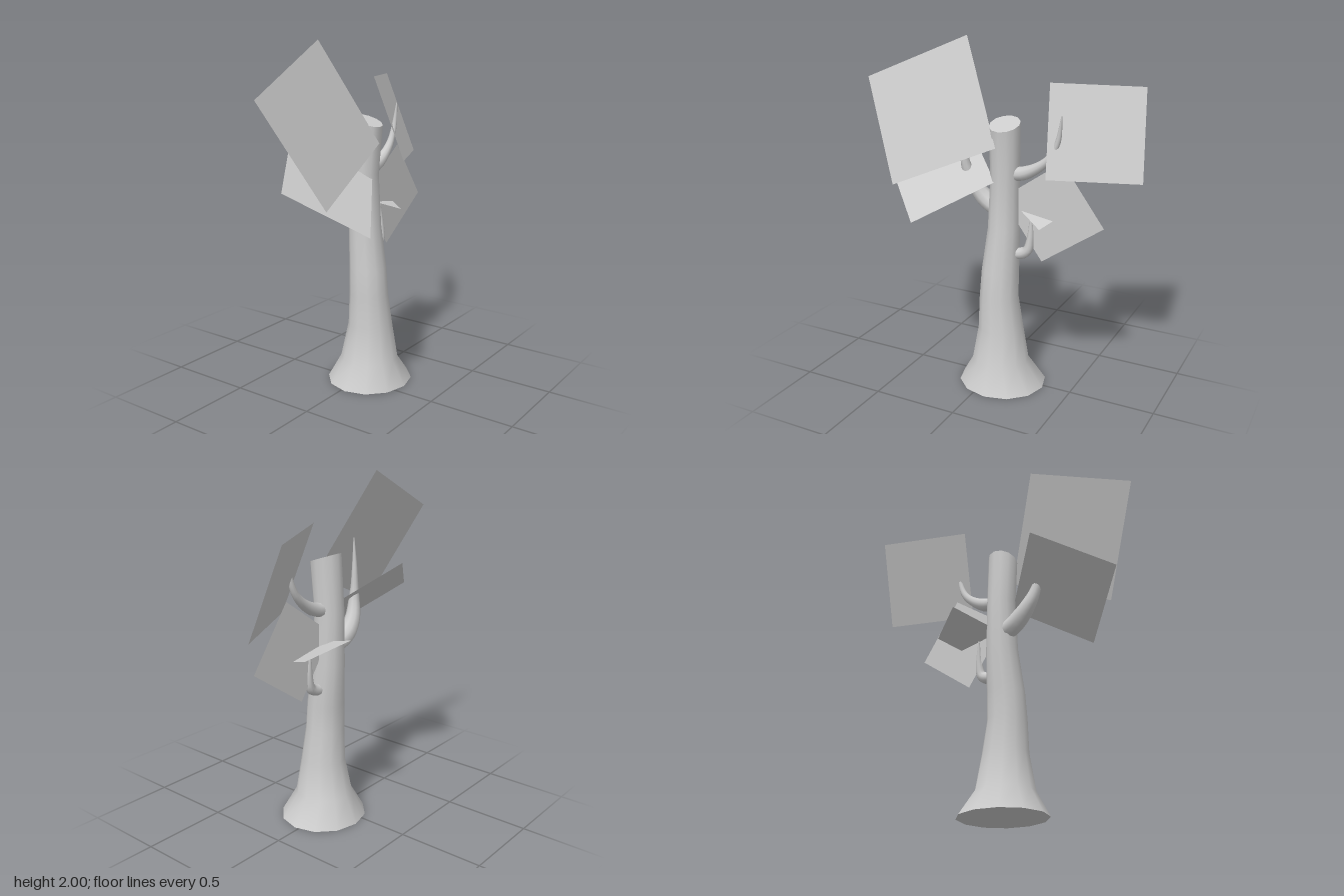
import * as THREE from 'three';

const grey = new THREE.MeshStandardMaterial({ color: 0xcccccc });
const thin = new THREE.MeshStandardMaterial({ color: 0xcccccc, side: THREE.DoubleSide });

function addMesh(group, name, geometry, material = grey) {
  const mesh = new THREE.Mesh(geometry, material);
  mesh.name = name;
  group.add(mesh);
}

// Twelve-sided trunk, lofted through rings of [y, xMin, xMax, zMin, zMax]
function trunkGeometry() {
  const rings = [
    [0, -0.18, 0.335, -0.22, 0.27],
    [0.14, -0.10, 0.23, -0.14, 0.20],
    [0.35, -0.063, 0.20, -0.095, 0.163],
    [0.54, -0.058, 0.167, -0.082, 0.145],
    [0.70, -0.05, 0.166, -0.086, 0.13],
    [0.95, -0.025, 0.157, -0.1, 0.09],
    [1.25, -0.015, 0.15, -0.1, 0.072],
    [1.55, -0.015, 0.16, -0.08, 0.093],
  ];
  const sides = 12, rows = rings.length - 1;
  const geo = new THREE.CylinderGeometry(1, 1, 1, sides, rows);
  const p = geo.attributes.position;
  for (let i = 0; i < p.count; i++) {
    const row = Math.round((p.getY(i) + 0.5) * rows);
    const [y, x0, x1, z0, z1] = rings[row];
    const tilt = row === rows ? -0.03 * p.getZ(i) : 0; // slanted cut on top
    p.setXYZ(i, (x0 + x1) / 2 + p.getX(i) * (x1 - x0) / 2, y + tilt,
      (z0 + z1) / 2 + p.getZ(i) * (z1 - z0) / 2);
  }
  geo.computeVertexNormals();
  // Smooth the normals across the seam
  const n = geo.attributes.normal;
  for (let r = 0; r <= rows; r++) {
    const a = r * (sides + 1), b = a + sides;
    const v = new THREE.Vector3().fromBufferAttribute(n, a)
      .add(new THREE.Vector3().fromBufferAttribute(n, b)).normalize();
    n.setXYZ(a, v.x, v.y, v.z);
    n.setXYZ(b, v.x, v.y, v.z);
  }
  return geo;
}

// Tapered tube along a curve; radii are spread evenly along its length
function branchGeometry(points, radii) {
  const curve = new THREE.CatmullRomCurve3(points.map(q => new THREE.Vector3(...q)));
  const steps = 20, sides = 10;
  const geo = new THREE.TubeGeometry(curve, steps, 1, sides);
  const p = geo.attributes.position, v = new THREE.Vector3();
  for (let i = 0; i <= steps; i++) {
    const c = curve.getPointAt(i / steps);
    const t = i / steps * (radii.length - 1), k = Math.min(Math.floor(t), radii.length - 2);
    const r = THREE.MathUtils.lerp(radii[k], radii[k + 1], t - k);
    for (let j = 0; j <= sides; j++) {
      const id = i * (sides + 1) + j;
      v.fromBufferAttribute(p, id).sub(c).multiplyScalar(r).add(c);
      p.setXYZ(id, v.x, v.y, v.z);
    }
  }
  return geo;
}

// Flat foliage card from three corners: top left, top right, bottom left
function cardGeometry(a, b, c) {
  const geo = new THREE.PlaneGeometry(1, 1);
  const d = b.map((value, i) => value + c[i] - a[i]);
  [a, b, c, d].forEach((q, i) => geo.attributes.position.setXYZ(i, ...q));
  geo.computeVertexNormals();
  return geo;
}

export function createModel() {
  const model = new THREE.Group();
  model.name = 'tree';
  addMesh(model, 'trunk', trunkGeometry());

  // Branches curl out of the trunk and then upward
  addMesh(model, 'rightBranch', branchGeometry(
    [[0.04, 1.05, -0.02], [-0.04, 1.08, -0.03], [-0.12, 1.16, -0.025], [-0.17, 1.28, 0], [-0.185, 1.45, 0.01], [-0.19, 1.62, 0.02]],
    [0.055, 0.052, 0.038, 0.022, 0.013, 0.003]), thin);
  addMesh(model, 'upperLeftBranch', branchGeometry(
    [[0.1, 1.27, -0.01], [0.18, 1.28, -0.01], [0.27, 1.325, -0.012], [0.34, 1.39, -0.015], [0.38, 1.48, -0.015], [0.4, 1.62, -0.01]],
    [0.042, 0.038, 0.027, 0.019, 0.013, 0.003]), thin);
  addMesh(model, 'lowerLeftBranch', branchGeometry(
    [[0.11, 0.81, 0], [0.17, 0.81, 0], [0.215, 0.835, 0], [0.23, 0.9, -0.005], [0.23, 1.06, -0.015]],
    [0.034, 0.033, 0.022, 0.013, 0.003]), thin);

  // Foliage cards
  const cards = {
    upperRightFoliage: [[-0.83, 1.74, -0.016], [-0.22, 2.0, -0.11], [-0.55, 1.17, 0.19]],
    lowerRightFoliage: [[-0.69, 1.27, 0.017], [-0.30, 1.49, -0.24], [-0.35, 1.01, 0.32]],
    upperLeftFoliage: [[0.29, 1.775, -0.10], [0.76, 1.755, -0.32], [0.35, 1.285, 0.075]],
    lowerLeftFoliage: [[0.05, 1.12, -0.01], [0.41, 1.37, -0.01], [0.30, 0.78, -0.01]],
    smallLeftFoliage: [[0.10, 1.09, -0.05], [0.21, 1.165, -0.28], [0.32, 1.0, 0.08]],
  };
  for (const [name, corners] of Object.entries(cards)) {
    addMesh(model, name, cardGeometry(...corners), thin);
  }
  return model;
}
